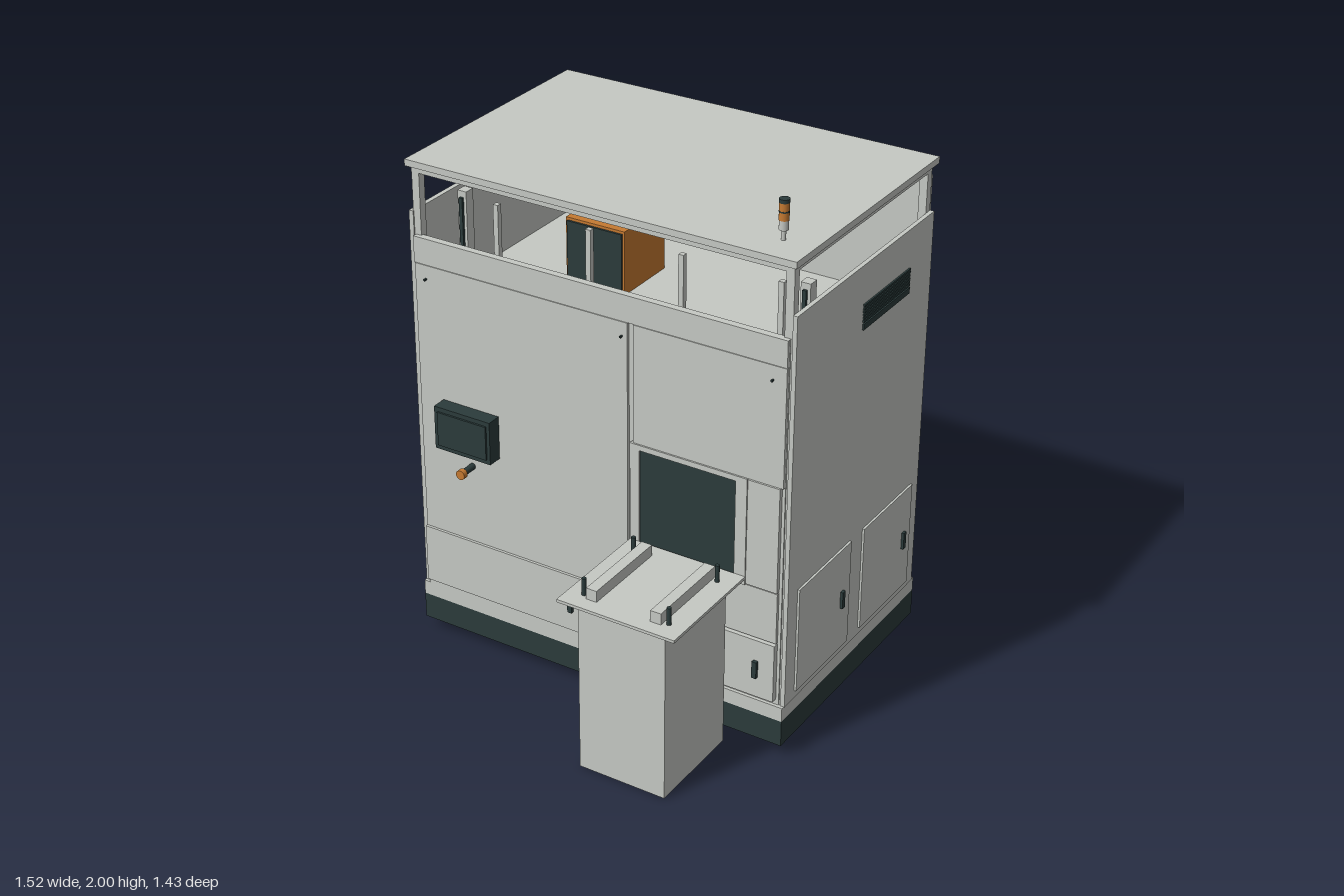
import * as THREE from 'three';

const mat = (name, color) => {
  const m = new THREE.MeshStandardMaterial({ color });
  m.name = name;
  return m;
};

export function createModel() {
  const light = mat('light grey paint', 0xc6c9c4);
  const dark = mat('dark slate', 0x2b3b3b);
  const orange = mat('orange', 0xc67a32);
  const root = new THREE.Group();
  root.name = 'machineCabinet';

  const add = (name, geo, material, x, y, z, parent = root) => {
    const m = new THREE.Mesh(geo, material);
    m.name = name;
    m.position.set(x, y, z);
    parent.add(m);
    return m;
  };
  // Box given by its limits on each axis
  const box = (name, material, x0, x1, y0, y1, z0, z1, parent) =>
    add(name, new THREE.BoxGeometry(x1 - x0, y1 - y0, z1 - z0), material,
      (x0 + x1) / 2, (y0 + y1) / 2, (z0 + z1) / 2, parent);
  // Upright cylinder from y0 to y1
  const rod = (name, material, r, x, y0, y1, z, parent) =>
    add(name, new THREE.CylinderGeometry(r, r, y1 - y0, 24), material, x, (y0 + y1) / 2, z, parent);

  // Base and feet
  box('plinth', dark, -0.76, 0.735, 0.045, 0.145, -0.71, 0.262);
  box('baseRim', light, -0.76, 0.735, 0.145, 0.2, -0.71, 0.262);
  for (const x of [-0.658, 0.632])
    for (const z of [0.163, -0.607]) rod('foot', dark, 0.038, x, 0, 0.045, z);

  // Walls: the sides stop lower than the back
  box('rightWall', light, -0.76, -0.742, 0.2, 1.67, -0.69, 0.25);
  box('leftWall', light, 0.722, 0.738, 0.2, 1.67, -0.69, 0.25);
  box('backWall', light, -0.735, 0.715, 0.2, 1.79, -0.71, -0.695);
  box('frontWall', light, -0.735, 0.715, 0.2, 1.585, 0.235, 0.25);

  // Corner posts and roof frame
  for (const x of [-0.73, 0.706])
    for (const z of [0.23, -0.675])
      box('cornerPost', light, x - 0.015, x + 0.015, 0.2, 1.82, z - 0.015, z + 0.015);
  for (const z of [0.23, -0.675])
    box('roofBeam', light, -0.745, 0.721, 1.813, 1.836, z - 0.017, z + 0.017);
  for (const x of [-0.73, 0.706])
    box('roofBeam', light, x - 0.015, x + 0.015, 1.813, 1.836, -0.66, 0.215);
  box('roof', light, -0.76, 0.735, 1.836, 1.86, -0.713, 0.262);

  // Front panels
  box('frontHeader', light, -0.738, 0.714, 1.488, 1.585, 0.25, 0.262);
  box('mainDoor', light, -0.735, 0.12, 0.2, 1.486, 0.25, 0.262);
  box('upperRightPanel', light, 0.142, 0.714, 1.05, 1.486, 0.25, 0.262);
  box('sidePanel', light, 0.585, 0.704, 0.65, 1.048, 0.25, 0.266);
  box('middleRightPanel', light, 0.142, 0.704, 0.45, 0.645, 0.25, 0.262);
  box('lowerRightDoor', light, 0.01, 0.704, 0.22, 0.445, 0.25, 0.272);
  box('lowerLeftDoor', light, -0.735, -0.04, 0.22, 0.445, 0.25, 0.272);
  box('doorLink', light, -0.04, 0.01, 0.355, 0.368, 0.25, 0.266);
  for (const x of [-0.108, 0.635])
    box('frontHandle', dark, x - 0.009, x + 0.009, 0.3, 0.365, 0.27, 0.285);
  for (const [x, y] of [[-0.69, 1.435], [0.1, 1.435], [0.665, 1.435], [0.1, 0.405]])
    box('screwHead', dark, x - 0.003, x + 0.003, y - 0.003, y + 0.003, 0.262, 0.275);

  // Loading window with its frame
  box('window', dark, 0.17, 0.54, 0.67, 1.03, 0.25, 0.263);
  box('windowFrameTop', light, 0.133, 0.583, 1.03, 1.05, 0.25, 0.268);
  box('windowFrameBottom', light, 0.133, 0.583, 0.645, 0.67, 0.25, 0.268);
  box('windowFrameRight', light, 0.133, 0.17, 0.67, 1.03, 0.25, 0.268);
  box('windowFrameLeft', light, 0.54, 0.583, 0.67, 1.03, 0.25, 0.268);

  // Control screen and push button
  const panel = new THREE.Group();
  panel.name = 'controlPanel';
  root.add(panel);
  box('screenHousing', dark, -0.638, -0.405, 0.82, 0.985, 0.262, 0.318, panel);
  box('screenFace', dark, -0.622, -0.418, 0.838, 0.968, 0.318, 0.325, panel);
  const collar = rod('buttonCollar', dark, 0.012, -0.522, 0.74, 0.77, 0.3, panel);
  collar.scale.y = 2.2;
  collar.position.set(-0.522, 0.753, 0.29);
  collar.rotation.x = Math.PI / 2;
  const button = rod('pushButton', orange, 0.018, -0.522, 0.74, 0.76, 0.328, panel);
  button.rotation.x = Math.PI / 2;
  button.position.y = 0.753;

  // Service doors and handles on the left side
  for (const [z0, z1, h] of [[-0.178, 0.185, -0.12], [-0.632, -0.27, -0.577]]) {
    box('serviceDoor', light, 0.738, 0.746, 0.23, 0.635, z0, z1);
    box('serviceHandle', dark, 0.744, 0.756, 0.4, 0.466, h - 0.009, h + 0.009);
  }

  // Vent louvres
  box('ventSill', dark, 0.736, 0.744, 1.434, 1.456, -0.522, -0.195);
  for (let i = 0; i < 6; i++) {
    const y = 1.462 + i * 0.0115;
    box('ventSlat', dark, 0.736, 0.744, y, y + 0.0075, -0.522, -0.195);
  }

  // Loading table
  const table = new THREE.Group();
  table.name = 'loadingTable';
  root.add(table);
  box('pedestal', light, 0.19, 0.525, 0.003, 0.667, 0.29, 0.672, table);
  box('tableTop', light, 0.134, 0.584, 0.667, 0.678, 0.268, 0.714, table);
  for (const x of [0.235, 0.481])
    box('guideRail', light, x - 0.02, x + 0.02, 0.678, 0.72, 0.322, 0.66, table);
  for (const x of [0.195, 0.521])
    for (const z of [0.342, 0.642]) rod('locatingPin', dark, 0.008, x, 0.678, 0.742, z, table);

  // Signal tower
  const tower = new THREE.Group();
  tower.name = 'signalTower';
  root.add(tower);
  rod('towerPole', light, 0.008, 0.619, 1.86, 1.898, 0.14, tower);
  rod('towerBase', light, 0.016, 0.619, 1.895, 1.928, 0.14, tower);
  rod('lowerLamp', orange, 0.017, 0.619, 1.928, 1.955, 0.14, tower);
  rod('lampBand', dark, 0.0175, 0.619, 1.955, 1.96, 0.14, tower);
  rod('upperLamp', orange, 0.017, 0.619, 1.96, 1.987, 0.14, tower);
  rod('towerCap', dark, 0.0175, 0.619, 1.987, 2, 0.14, tower);

  // Interior deck, control unit, stanchions and sensors
  box('deck', light, -0.74, 0.72, 1.3, 1.32, -0.695, 0.235);
  box('controlUnit', orange, -0.42, -0.18, 1.32, 1.56, -0.45, -0.19);
  box('controlUnitFace', dark, -0.412, -0.188, 1.34, 1.55, -0.19, -0.182);
  for (const x of [-0.575, -0.197, 0.168, 0.545])
    box('stanchion', light, x - 0.01, x + 0.01, 1.32, 1.642, -0.01, 0.01);
  for (const x of [-0.685, 0.655]) {
    box('sensorBracket', light, x - 0.018, x + 0.018, 1.32, 1.683, 0.01, 0.05);
    box('sensorBar', dark, x - 0.007, x + 0.007, 1.4, 1.66, 0.05, 0.06);
  }
  return root;
}
